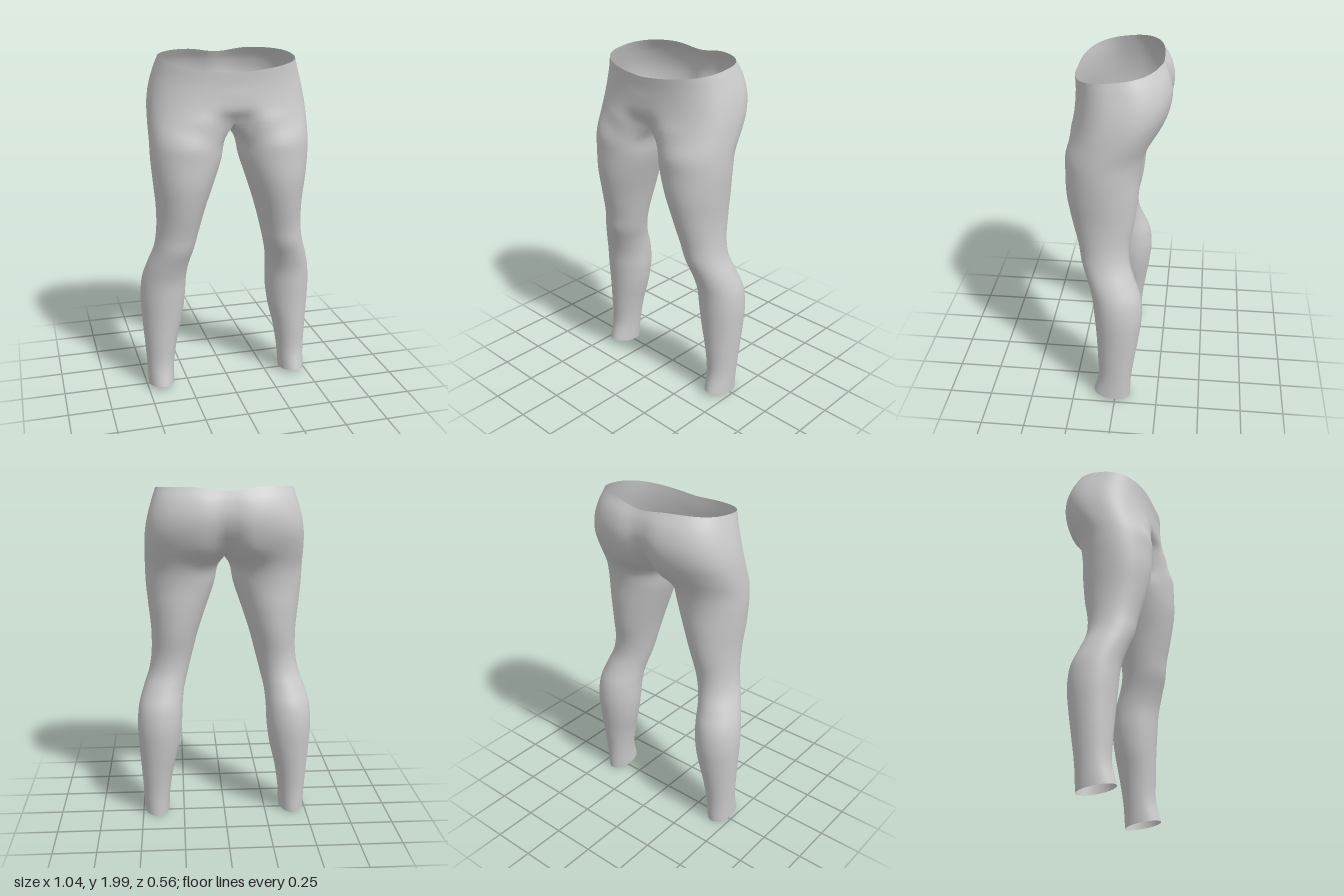
import * as THREE from 'three';
import { mergeVertices } from 'three/addons/utils/BufferGeometryUtils.js';

const OUTER = 36;   // columns from front centre, round the outside, to back centre
const INNER = 12;   // columns on the inside of the leg
const STEPS = 4;    // rows between two stations
const OPEN = 2.5;   // angle on the leg where the inside begins

// Hip stations: [y front, y back, half width, z front, z back, front hollow, back cleft, back dip]
const HIPS = [
  [1.915, 2.00, 0.385, 0.245, -0.225, 0, 0, 0.025],
  [1.85, 1.93, 0.408, 0.242, -0.265, 0, 0.02, 0.01],
  [1.78, 1.84, 0.432, 0.245, -0.284, 0, 0.03, 0],
  [1.71, 1.75, 0.447, 0.255, -0.272, 0.015, 0.05, 0],
  [1.64, 1.65, 0.453, 0.274, -0.23, 0.08, 0.09, 0],
];

// Leg stations: [y, x inner, x outer, z back, z front]
const LEGS = [
  [1.53, 0.034, 0.455, -0.143, 0.282],
  [1.43, 0.055, 0.453, -0.123, 0.284],
  [1.30, 0.098, 0.442, -0.115, 0.28],
  [1.15, 0.148, 0.428, -0.098, 0.252],
  [1.00, 0.188, 0.43, -0.07, 0.215],
  [0.90, 0.213, 0.447, -0.072, 0.198],
  [0.80, 0.238, 0.482, -0.103, 0.165],
  [0.70, 0.25, 0.51, -0.14, 0.137],
  [0.58, 0.256, 0.52, -0.151, 0.124],
  [0.45, 0.274, 0.515, -0.138, 0.113],
  [0.30, 0.309, 0.505, -0.115, 0.105],
  [0.15, 0.332, 0.496, -0.094, 0.102],
  [0.018, 0.341, 0.492, -0.086, 0.13],
];

const lerp = THREE.MathUtils.lerp;
const spow = (v, p) => Math.sign(v) * Math.abs(v) ** p;

// Point on the outside of the hips, t = 0 front centre, 1 back centre
function hipPoint([yf, yb, w, zf, zb, hollow, cleft, dip], t) {
  const a = Math.PI * (0.5 - t);
  const x = w * spow(Math.cos(a), 0.8);
  const mid = (zf + zb) / 2;
  let z = mid + (zf - zb) / 2 * spow(Math.sin(a), 0.8);
  let y = lerp(yf, yb, Math.max(0, (zf - z) / (zf - zb)) ** 0.5);
  if (t < 0.5) z -= hollow * Math.exp(-((x / 0.1) ** 2));
  else {
    z += cleft * Math.exp(-((x / 0.07) ** 2));
    y -= dip * Math.exp(-((x / 0.12) ** 2));
  }
  return new THREE.Vector3(x, y, z);
}

// Point on the closed leg section; the hem rises a little at the front
function legPoint([y, xi, xo, zb, zf], a) {
  const hem = y < 0.1 ? 0.016 * Math.sin(a) : 0;
  return new THREE.Vector3(
    (xi + xo) / 2 + (xo - xi) / 2 * Math.cos(a),
    y + hem,
    (zf + zb) / 2 + (zf - zb) / 2 * Math.sin(a));
}

// Smooth column of points through its stations
function column(stations) {
  const curve = new THREE.CatmullRomCurve3(stations, false, 'centripetal');
  return curve.getPoints((stations.length - 1) * STEPS);
}

function halfColumns() {
  const columns = [];
  const seam = HIPS[HIPS.length - 1];
  const crotchRow = (HIPS.length - 1) * STEPS;
  for (let c = 0; c <= OUTER; c++) {
    const t = c / OUTER;
    const pts = column([
      ...HIPS.map((h) => hipPoint(h, t)),
      ...LEGS.map((l) => legPoint(l, lerp(OPEN, -OPEN, t))),
    ]);
    // Centre columns stay on the middle plane down to the crotch
    if (c === 0 || c === OUTER) pts.forEach((p, r) => { if (r <= crotchRow) p.x = 0; });
    columns.push({ start: 0, pts });
  }
  // Inside of the leg hangs from the crotch seam
  const front = hipPoint(seam, 0), back = hipPoint(seam, 1);
  for (let c = 1; c < INNER; c++) {
    const s = c / INNER;
    const top = back.clone().lerp(front, s);
    top.x = 0;
    top.y -= 0.058 * Math.sin(Math.PI * s) ** 0.8;
    const a = lerp(-OPEN, OPEN - 2 * Math.PI, s);
    const pts = column([top, ...LEGS.map((l) => legPoint(l, a))]);
    columns.push({ start: crotchRow, pts });
  }
  return columns;
}

function garmentGeometry() {
  const columns = halfColumns();
  const position = [], index = [];
  for (const side of [1, -1]) {
    const base = columns.map((col) => {
      const first = position.length / 3 - col.start;
      col.pts.forEach((p) => position.push(side * Math.max(0, p.x), p.y, p.z));
      return first;
    });
    const rows = columns[0].pts.length;
    columns.forEach((col, c) => {
      const n = (c + 1) % columns.length;
      const start = c < OUTER ? 0 : (HIPS.length - 1) * STEPS;
      for (let r = start; r < rows - 1; r++) {
        const a = base[c] + r, b = base[n] + r;
        if (side > 0) index.push(a, a + 1, b, b, a + 1, b + 1);
        else index.push(a, b, a + 1, b, b + 1, a + 1);
      }
    });
  }
  let geometry = new THREE.BufferGeometry();
  geometry.setAttribute('position', new THREE.Float32BufferAttribute(position, 3));
  geometry.setIndex(index);
  geometry = mergeVertices(geometry, 1e-5); // joins both halves along the centre
  geometry.computeVertexNormals();
  return geometry;
}

export function createModel() {
  const group = new THREE.Group();
  group.name = 'leggings';
  const material = new THREE.MeshStandardMaterial({ color: 0xcccccc, side: THREE.DoubleSide });
  const garment = new THREE.Mesh(garmentGeometry(), material);
  garment.name = 'hipsAndLegs';
  group.add(garment);
  return group;
}
